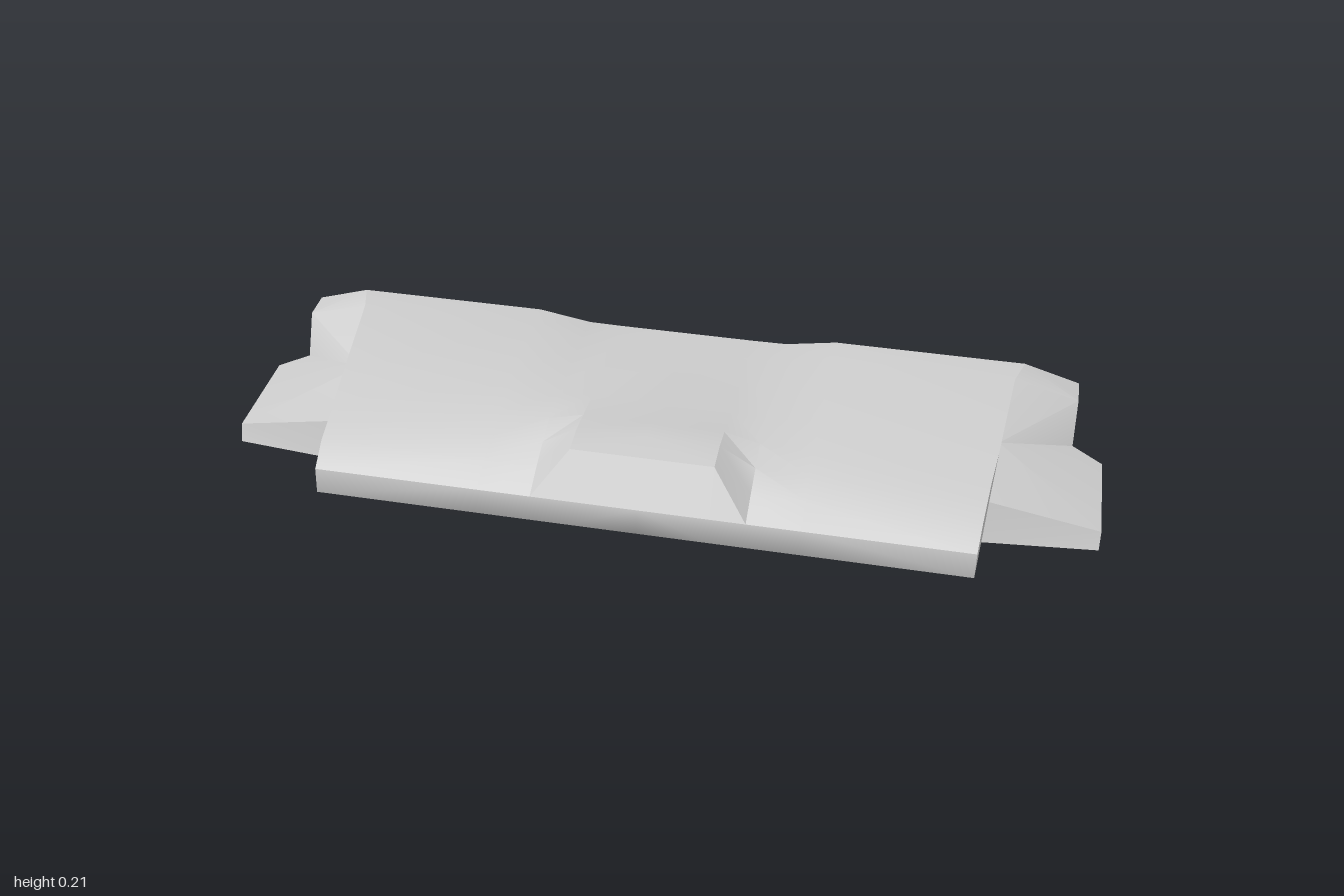
import * as THREE from 'three';
import { toCreasedNormals } from 'three/addons/utils/BufferGeometryUtils.js';

const material = new THREE.MeshStandardMaterial({ color: 0xcccccc, side: THREE.DoubleSide });
material.name = 'plain grey';

// Fan-triangulates polygons of the +x half and mirrors them to -x
function mirroredMesh(name, polygons, crease) {
  const pos = [];
  for (const p of polygons) {
    for (let i = 1; i < p.length - 1; i++) {
      const tri = [p[0], p[i], p[i + 1]];
      for (const v of tri) pos.push(...v);
      for (const v of [tri[0], tri[2], tri[1]]) pos.push(-v[0], v[1], v[2]);
    }
  }
  const geometry = new THREE.BufferGeometry();
  geometry.setAttribute('position', new THREE.Float32BufferAttribute(pos, 3));
  const mesh = new THREE.Mesh(toCreasedNormals(geometry, crease), material);
  mesh.name = name;
  return mesh;
}

// Joins neighbouring cross-sections
function loft(sections) {
  const polygons = [];
  for (let i = 0; i < sections.length - 1; i++) {
    const s = sections[i], t = sections[i + 1];
    for (let j = 0; j < s.length - 1; j++) {
      polygons.push([s[j], t[j], s[j + 1]], [t[j], t[j + 1], s[j + 1]]);
    }
  }
  return polygons;
}

const section = (x, zy) => zy.map(([z, y]) => [x, y, z]);

export function createModel() {
  const group = new THREE.Group();
  group.name = 'panel';

  // Top deck: raised centre, shallow valley, sloping sides; front lip to back edge
  const lip = [0.315, 0.105];
  const centre = [lip, [0.257, 0.205], [0.19, 0.212], [0.13, 0.205], [0.04, 0.194], [-0.19, 0.18], [-0.275, 0.175]];
  const valley = [lip, [0.25, 0.137], [0.19, 0.162], [0.13, 0.184], [0.04, 0.188], [-0.19, 0.186], [-0.275, 0.176]];
  const side = [lip, [0.25, 0.137], [0.19, 0.158], [0.13, 0.178], [0.04, 0.194], [-0.19, 0.209], [-0.26, 0.207]];
  const end = [
    [0.735, 0.105, 0.315], [0.74, 0.137, 0.25], [0.745, 0.147, 0.19], [0.75, 0.157, 0.13],
    [0.76, 0.172, 0.04], [0.78, 0.209, -0.19], [0.8, 0.207, -0.26],
  ];
  const deck = [section(0, centre), section(0.16, centre), section(0.24, valley), section(0.36, side), end];
  group.add(mirroredMesh('topDeck', loft(deck), 0.5));

  // Rounded shell: back edge, underside and front lip
  const under = [[-0.32, 0.09], [-0.31, 0.025], [-0.265, 0], [0.15, 0], [0.255, 0.01], [0.323, 0.045]];
  const endX = [0.8, 0.8, 0.78, 0.745, 0.735, 0.735];
  const endUnder = under.map(([z, y], i) => [endX[i], y, z]);
  const shell = deck.map((s, i) => [
    s[6], ...(i < 4 ? section(s[0][0], under) : endUnder), s[0],
  ]);
  const tip = section(0.93, [[-0.28, 0.155], ...under.slice(0, 3)]);
  const backTip = loft([shell[4].slice(0, 4), tip]);
  group.add(mirroredMesh('roundedShell', [...loft(shell), ...backTip], 1.3));

  // Side shelves rising to the back corners
  const inner = [[0.75, 0.1, 0.13], [0.76, 0.118, -0.065], end[5], end[6]];
  const outer = [[1, 0.042, 0.113], [1, 0.042, -0.13], [0.93, 0.06, -0.162], [0.93, 0.155, -0.21], tip[0]];
  const base = [endUnder[3], [1, 0, 0.127], [1, 0, -0.13], [0.93, 0, -0.162], tip[3], endUnder[2]];
  group.add(mirroredMesh('sideShelf', [
    [inner[1], inner[0], outer[0], outer[1]],
    [inner[1], outer[1], outer[2], outer[3], inner[2]],
    [inner[3], inner[2], outer[3], outer[4]],
    [base[0], base[1], outer[0], inner[0]],
    [base[1], base[2], outer[1], outer[0]],
    [base[2], base[3], outer[2], outer[1]],
    [base[3], tip[3], tip[2], tip[1], outer[4], outer[3], outer[2]],
    [...base].reverse(),
  ], 0.6));

  // Upright walls closing the deck above the shelves
  group.add(mirroredMesh('endWall', [
    [inner[0], inner[1], end[4], end[3], end[2], end[1], end[0], endUnder[5], endUnder[4], endUnder[3]],
    [inner[1], end[5], end[4]],
  ], 0.5));

  return group;
}
